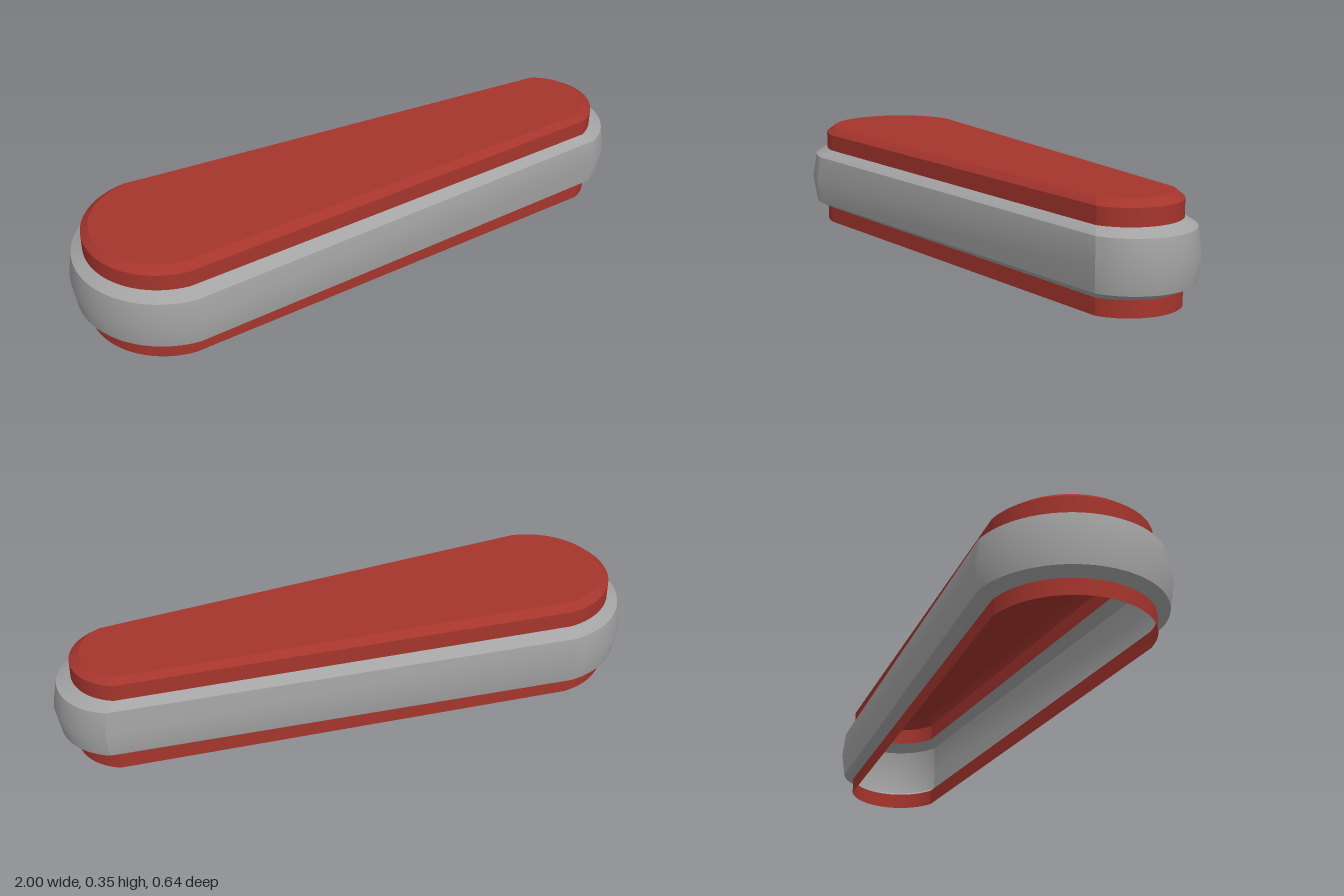
import * as THREE from 'three';

const rad = THREE.MathUtils.degToRad;

// Arc points of the teardrop outline, grown by d: the narrow tip and the wide hub
function arc(cx, r, from, to, steps = 28) {
  return Array.from({ length: steps + 1 }, (_, i) => {
    const a = rad(from + (to - from) * i / steps);
    return [cx + r * Math.cos(a), r * Math.sin(a)];
  });
}
const tipArc = d => arc(0.761 + 0.5 * d, 0.174 + 0.62 * d, -66, 66);
const hubArc = d => arc(-0.685 + 0.14 * d, 0.265 + d, 96, 264, 40);

// Hub arc together with both straight sides, meeting the tip at a crease
function bodyLine(d) {
  const tip = tipArc(d);
  return [tip[tip.length - 1], ...hubArc(d), tip[0]];
}

// Wall strip through a list of [outset, height] levels
function strip(line, levels) {
  const pos = [], index = [];
  const rows = levels.map(([d, y]) => line(d).map(([x, z]) => [x, y, z]));
  const n = rows[0].length;
  rows.forEach(row => row.forEach(p => pos.push(...p)));
  for (let j = 0; j < rows.length - 1; j++) {
    for (let i = 0; i < n - 1; i++) {
      const a = j * n + i, b = a + n;
      index.push(a, b, a + 1, a + 1, b, b + 1);
    }
  }
  const g = new THREE.BufferGeometry();
  g.setAttribute('position', new THREE.Float32BufferAttribute(pos, 3));
  g.setIndex(index);
  g.computeVertexNormals();
  return g;
}

export function createModel() {
  const red = new THREE.MeshStandardMaterial({ color: 0xa5352d, side: THREE.DoubleSide });
  red.name = 'red';
  const grey = new THREE.MeshStandardMaterial({ color: 0xa3a3a3, side: THREE.DoubleSide });
  grey.name = 'grey';

  const model = new THREE.Group();
  model.name = 'flipperBat';

  function wall(name, material, levels) {
    const group = new THREE.Group();
    group.name = name;
    for (const line of [tipArc, bodyLine]) {
      const mesh = new THREE.Mesh(strip(line, levels), material);
      mesh.name = name + (line === tipArc ? 'Tip' : 'Body');
      group.add(mesh);
    }
    model.add(group);
  }

  // Hollow red base, open underneath
  wall('baseWall', red, [[0, 0], [0, 0.055]]);

  // Bulging grey band with bevelled edges
  wall('bandLowerBevel', grey, [[0, 0.055], [0.044, 0.078]]);
  wall('bandFace', grey, [[0.044, 0.078], [0.058, 0.163], [0.044, 0.248]]);
  wall('bandUpperBevel', grey, [[0.044, 0.248], [0, 0.271]]);

  // Red top with a bevelled rim
  wall('topWall', red, [[0, 0.271], [0, 0.328]]);
  wall('topBevel', red, [[0, 0.328], [-0.03, 0.349]]);
  const outline = [...tipArc(-0.03), ...hubArc(-0.03)].map(p => new THREE.Vector2(...p));
  const cap = new THREE.Mesh(new THREE.ShapeGeometry(new THREE.Shape(outline)).rotateX(-Math.PI / 2), red);
  cap.name = 'topPlate';
  cap.position.y = 0.349;
  model.add(cap);

  return model;
}
